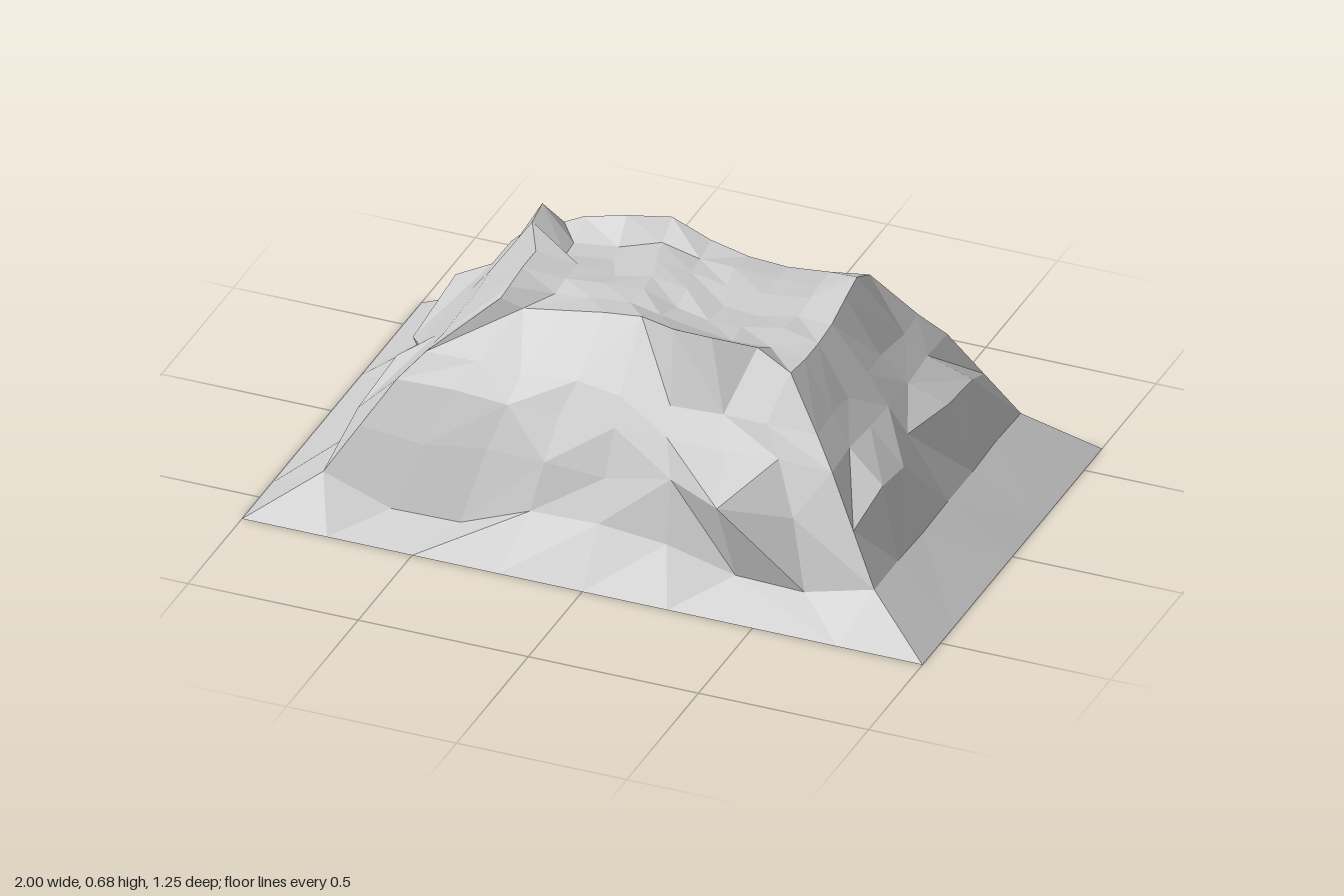
import * as THREE from 'three';

const NX = 8, NZ = 6, COUNT = 2 * (NX + NZ);

// Repeatable noise in the range -1..1
function noise(i, j) {
  const s = Math.sin(i * 127.1 + j * 311.7 + 4.2) * 43758.5453;
  return 2 * (s - Math.floor(s)) - 1;
}

// Position on a unit rectangle and outward direction. Order: front, right, back, left
function edgePoint(i) {
  const c = i % (NX + NZ), flip = i < NX + NZ ? 1 : -1;
  const x = c <= NX ? -1 + 2 * c / NX : 1;
  const z = c <= NX ? 1 : 1 - 2 * (c - NX) / NZ;
  const p = [x * flip, z * flip];
  return { p, out: p.map(v => (Math.abs(v) > 0.999 ? Math.sign(v) : 0)) };
}

// Rings from the ground to the rim: half width, half depth, height, roughness
const levels = [
  [1, 0.625, 0, 0],
  [0.81, 0.51, 0.13, 0.004],
  [0.725, 0.455, 0.265, 0.008],
  [0.64, 0.4, 0.4, 0.007],
  [0.575, 0.35, 0.475, 0.009],
  [0.47, 0.28, 0.6, 0],
];

// Shifts [outward, up] of single points on the foot, flank and rim rings
const shifts = {
  1: {
    1: [0, -0.07], 2: [0, -0.07], 3: [0, 0.01], 4: [0, 0.02], 6: [0, -0.05], 7: [0, -0.05],
    16: [0, -0.02], 18: [0, 0.03], 20: [0, -0.02], 21: [0, -0.03],
    24: [0.01, 0.02], 25: [-0.01, 0], 26: [-0.02, 0], 27: [0.005, 0.01],
  },
  2: {
    1: [0.01, -0.02], 3: [0.01, 0.02], 5: [0.005, 0.04], 6: [0.1, 0.04], 7: [0.01, 0],
    9: [0.025, 0.06], 10: [0.02, 0.05], 11: [-0.025, 0.05], 12: [0.02, 0.065], 13: [0.025, 0.065],
    15: [0.01, 0.03], 16: [0.02, 0.09], 17: [0.015, 0.08], 18: [-0.015, 0], 20: [0.02, 0.08], 21: [0.01, 0.05],
    23: [0.035, 0.065], 24: [0.1, -0.075], 25: [0.03, 0], 26: [0.02, 0.06], 27: [0.07, -0.05],
  },
  5: {},
};

// Height and outward shift of the uneven summit rim
const rimY = [
  0.61, 0.58, 0.6, 0.615, 0.64, 0.66, 0.665, 0.64,
  0.605, 0.6, 0.6, 0.61, 0.64, 0.655,
  0.615, 0.6, 0.6, 0.6, 0.62, 0.66, 0.66, 0.64,
  0.61, 0.675, 0.67, 0.64, 0.64, 0.63,
];
const rimOut = [
  -0.06, -0.08, -0.08, -0.09, -0.07, -0.01, 0, -0.04,
  -0.005, 0, 0, 0, 0, -0.005,
  -0.005, -0.01, -0.03, -0.02, -0.01, 0, -0.04, -0.06,
  -0.06, -0.01, -0.02, -0.07, -0.07, -0.07,
];
rimY.forEach((y, i) => { shifts[5][i] = [rimOut[i], y - 0.6]; });

function ringPoint(level, i) {
  const [hx, hz, h, roughness] = levels[level];
  const { p, out } = edgePoint(i);
  const rough = out[0] && out[1] ? 0 : roughness;
  const [outward, up] = shifts[level]?.[i] ?? [0, 0];
  const shift = outward + rough * noise(i, level);
  const slide = 1.5 * rough * noise(i + 80, level);
  return new THREE.Vector3(
    p[0] * hx + (out[0] ? out[0] * shift : slide),
    h + up + rough * noise(i + 40, level),
    p[1] * hz + (out[1] ? out[1] * shift : slide));
}

// Summit grid: its border is the rim, its inside a rough hollow
function summitPoint(rim, i, j) {
  const front = rim[i], back = rim[2 * NX + NZ - i];
  const right = rim[NX + j], left = rim[(COUNT - j) % COUNT];
  if (j === 0) return front;
  if (j === NZ) return back;
  if (i === 0) return left;
  if (i === NX) return right;
  return new THREE.Vector3(
    THREE.MathUtils.lerp(left.x, right.x, i / NX) + 0.01 * noise(i, j + 50),
    0.605 + 0.012 * noise(i, j + 60),
    THREE.MathUtils.lerp(front.z, back.z, j / NZ) + 0.01 * noise(i, j + 70));
}

export function createModel() {
  const group = new THREE.Group();
  group.name = 'rockyHill';
  const points = [];
  // Four-cornered facet with an irregular diagonal
  const addFacet = (a, b, c, d, choice) => {
    if (choice > 0) points.push(a, b, c, a, c, d);
    else points.push(a, b, d, b, c, d);
  };

  // Flanks
  const rings = levels.map((_, level) =>
    Array.from({ length: COUNT }, (_, i) => ringPoint(level, i)));
  for (let l = 0; l < levels.length - 1; l++) {
    for (let i = 0; i < COUNT; i++) {
      const n = (i + 1) % COUNT;
      addFacet(rings[l][i], rings[l][n], rings[l + 1][n], rings[l + 1][i], noise(i, l + 20));
    }
  }

  // Summit
  const rim = rings[levels.length - 1];
  for (let i = 0; i < NX; i++) {
    for (let j = 0; j < NZ; j++) {
      addFacet(summitPoint(rim, i, j), summitPoint(rim, i + 1, j),
        summitPoint(rim, i + 1, j + 1), summitPoint(rim, i, j + 1), noise(i, j + 30));
    }
  }
  const geometry = new THREE.BufferGeometry().setFromPoints(points);
  geometry.computeVertexNormals();

  // Open underneath
  const hill = new THREE.Mesh(geometry, new THREE.MeshStandardMaterial({
    color: 0xcccccc, flatShading: true, side: THREE.DoubleSide,
  }));
  hill.name = 'rockSurface';
  group.add(hill);
  return group;
}
